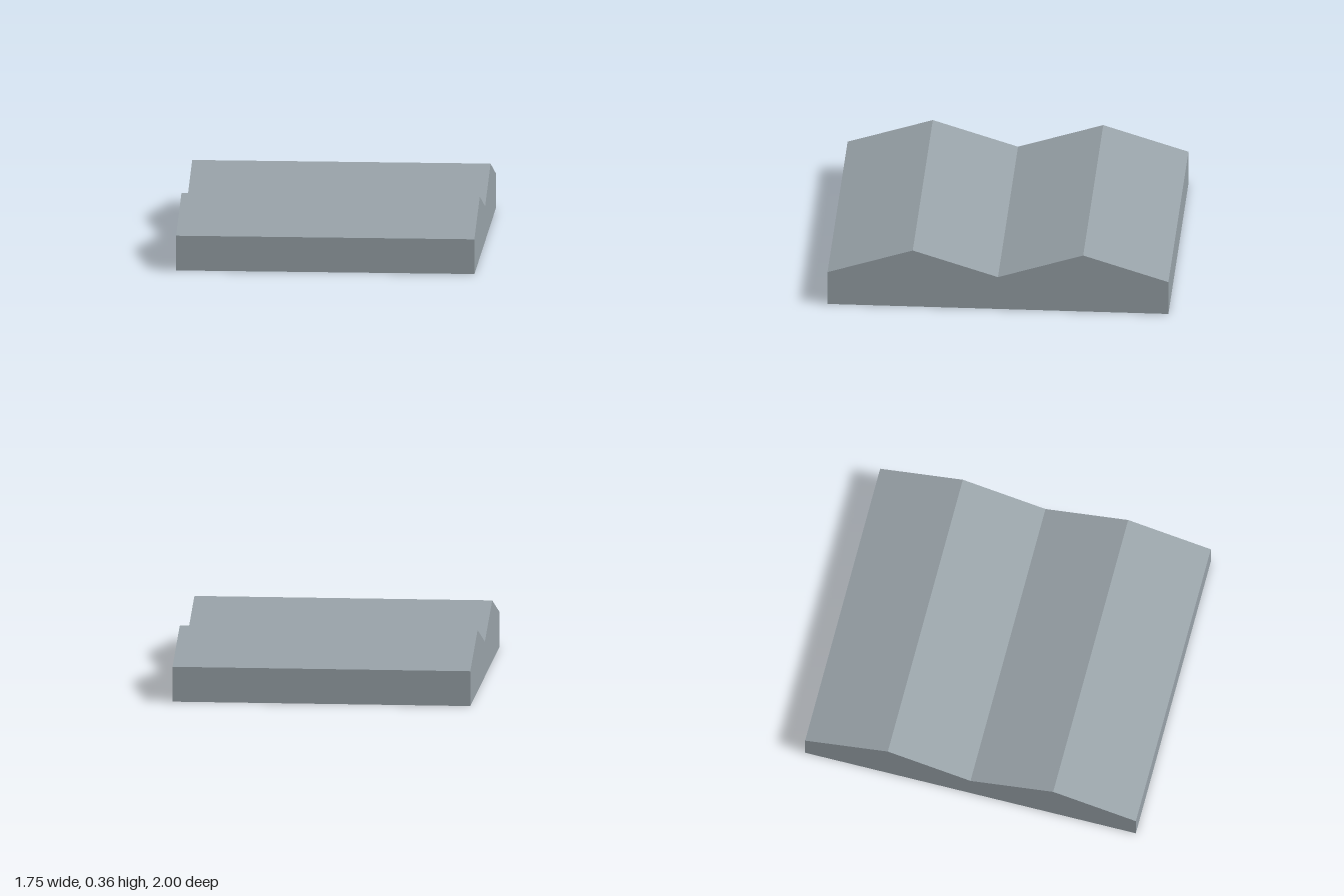
import * as THREE from 'three';

const HALF_WIDTH = 0.875;
const EAVE = 0.207;
const RIDGE = 0.364;

// Roof profile from front to back as [z, y]
const PROFILE = [[1, EAVE], [0.5, RIDGE], [0, EAVE], [-0.5, RIDGE], [-1, EAVE]];

export function createModel() {
  const group = new THREE.Group();
  const metal = new THREE.MeshStandardMaterial({ color: 0x98a2a8, side: THREE.DoubleSide });
  metal.name = 'greyMetal';

  const add = (name, geometry) => {
    const mesh = new THREE.Mesh(geometry, metal);
    mesh.name = name;
    group.add(mesh);
    return mesh;
  };

  // Flat panel across the full width between two [z, y] points
  const panel = (name, [z0, y0], [z1, y1]) => {
    const w = HALF_WIDTH;
    const geometry = new THREE.BufferGeometry();
    geometry.setAttribute('position', new THREE.Float32BufferAttribute(
      [-w, y0, z0, w, y0, z0, w, y1, z1, -w, y1, z1], 3));
    geometry.setIndex([0, 1, 2, 0, 2, 3]);
    geometry.computeVertexNormals();
    return add(name, geometry);
  };

  // Sloping roof panels
  for (let i = 0; i < PROFILE.length - 1; i++) {
    panel(`roofSlope${i + 1}`, PROFILE[i], PROFILE[i + 1]);
  }

  // Low front and back walls
  panel('frontWall', [1, 0], [1, EAVE]);
  panel('backWall', [-1, EAVE], [-1, 0]);

  // Zigzag gable ends; the underside stays open
  const outline = [[1, 0], ...PROFILE, [-1, 0]].map(([z, y]) => new THREE.Vector2(z, y));
  for (const side of [-1, 1]) {
    const gable = add(side > 0 ? 'leftGable' : 'rightGable',
      new THREE.ShapeGeometry(new THREE.Shape(outline)));
    gable.rotation.y = side * Math.PI / 2;
    gable.position.x = side * HALF_WIDTH;
  }

  return group;
}
